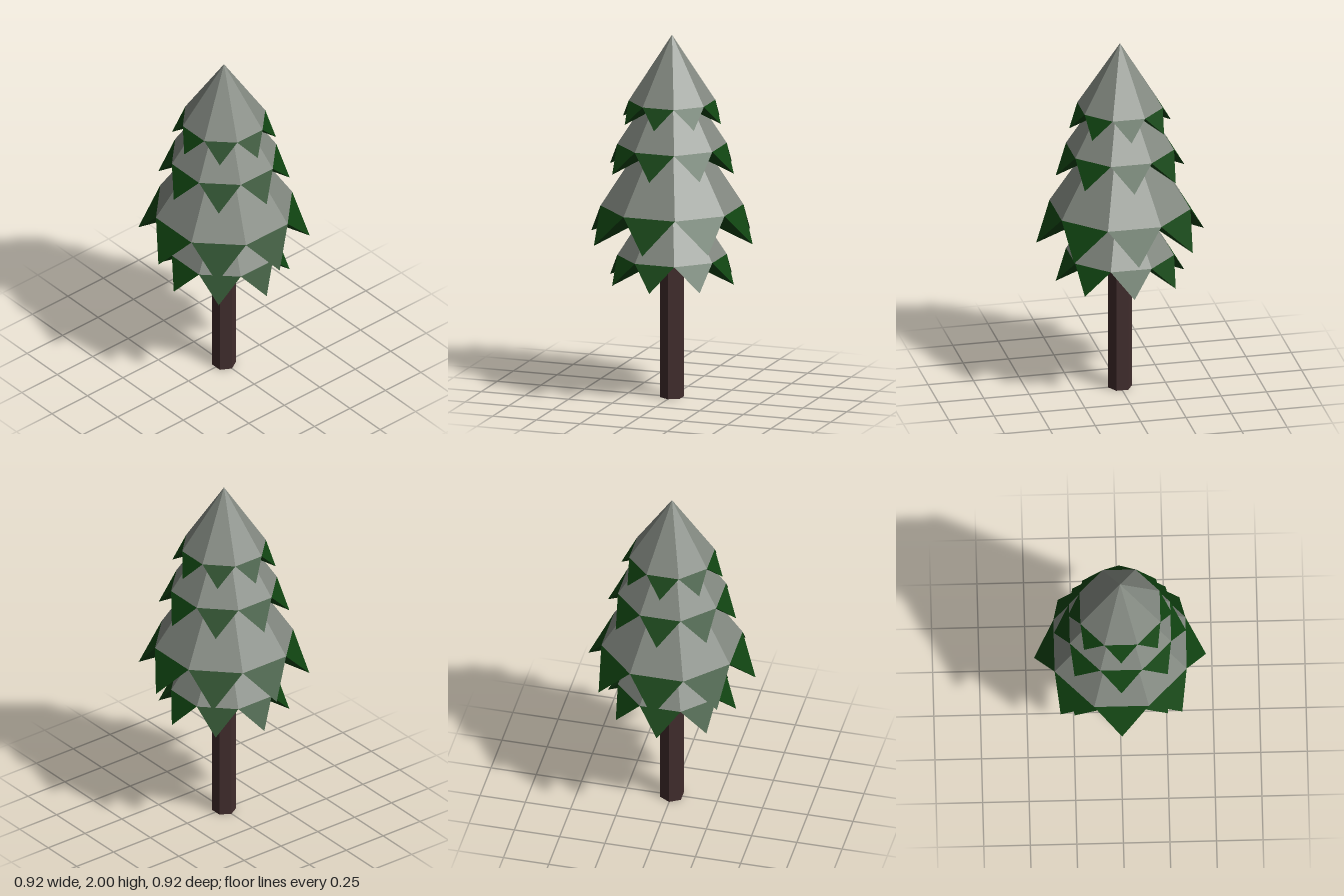
import * as THREE from 'three';

const SIDES = 8;
const SLOPE = 0.596;      // facet run per unit of drop
const NOTCH = 0.768;      // notch distance as a share of the tip radius

const material = (name, color, flatShading = true) => {
  const m = new THREE.MeshStandardMaterial({ color, flatShading });
  m.name = name;
  return m;
};

function addMesh(parent, name, geometry, mat) {
  const mesh = new THREE.Mesh(geometry, mat);
  mesh.name = name;
  parent.add(mesh);
  return mesh;
}

// Pointed green tips continuing each facet, closed by a star-shaped underside
function fringeGeometry(tipRadius, drop) {
  const step = (Math.PI * 2) / SIDES;
  const notchRadius = (tipRadius * NOTCH) / Math.cos(step / 2);
  const at = (r, a, y) => [r * Math.sin(a), y, r * Math.cos(a)];
  const centre = [0, 0, 0];
  const points = [];
  for (let i = 0; i < SIDES; i++) {
    const a = i * step;
    const left = at(notchRadius, a - step / 2, 0);
    const right = at(notchRadius, a + step / 2, 0);
    const tip = at(tipRadius, a, -drop);
    points.push(...left, ...tip, ...right);
    points.push(...centre, ...right, ...tip);
    points.push(...centre, ...tip, ...left);
  }
  const g = new THREE.BufferGeometry();
  g.setAttribute('position', new THREE.Float32BufferAttribute(points, 3));
  g.computeVertexNormals();
  return g;
}

export function createModel() {
  const snow = material('snow grey', 0x828880);
  const needles = material('needle green', 0x104311);
  const bark = material('bark brown', 0x412d2d);
  const cutWood = material('cut wood', 0x55431f);

  const tree = new THREE.Group();
  tree.name = 'snowyPine';

  // Hexagonal trunk with a paler cut base
  const trunk = new THREE.CylinderGeometry(0.066, 0.066, 0.9, 6);
  trunk.translate(0, 0.45, 0);
  addMesh(tree, 'trunk', trunk, [bark, bark, cutWood]);

  // Tiers from bottom to top: tip radius and tip height
  const tiers = [
    [0.354, 0.648],
    [0.462, 0.88],
    [0.354, 1.262],
    [0.28, 1.53],
  ];
  tiers.forEach(([radius, tipY], i) => {
    const tier = new THREE.Group();
    tier.name = `tier${i + 1}`;
    const drop = (radius * (1 - NOTCH)) / SLOPE;
    const height = (radius * NOTCH) / SLOPE;
    tier.position.y = tipY + drop;

    // Snow-covered upper cone
    const coneRadius = (radius * NOTCH) / Math.cos(Math.PI / SIDES);
    const cone = new THREE.ConeGeometry(coneRadius, height, SIDES, 1, true, Math.PI / SIDES);
    cone.translate(0, height / 2, 0);
    addMesh(tier, 'snowCone', cone, snow);

    addMesh(tier, 'needleFringe', fringeGeometry(radius, drop), needles);
    tree.add(tier);
  });

  return tree;
}
